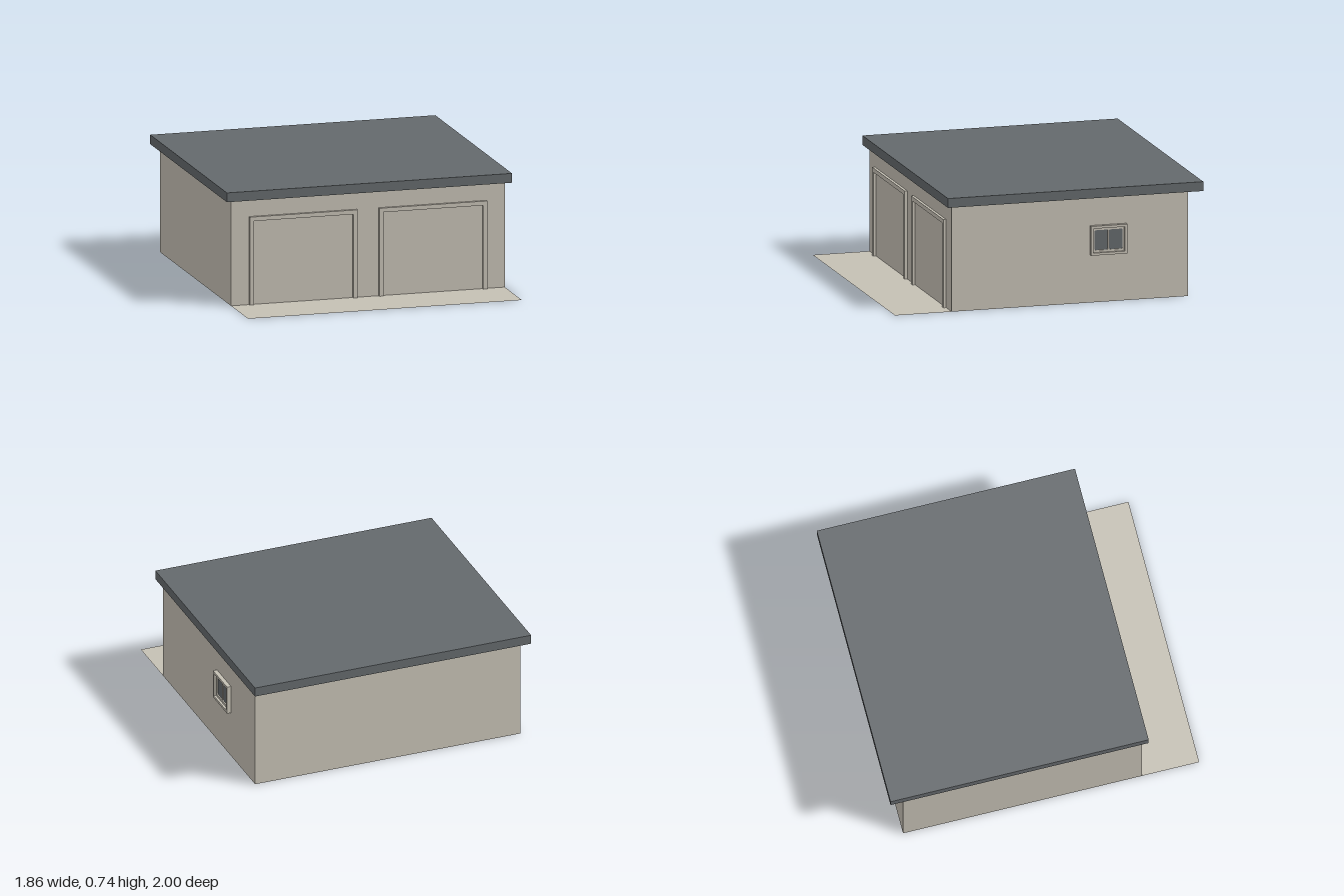
import * as THREE from 'three';

const plaster = new THREE.MeshStandardMaterial({ color: 0xc5c0b4, side: THREE.DoubleSide });
plaster.name = 'warm grey plaster';
const slate = new THREE.MeshStandardMaterial({ color: 0x64696c });
slate.name = 'slate grey';

const WALL = { x: 0.893, top: 0.675, front: 0.63, back: -0.91 };

function add(parent, name, geometry, material, x = 0, y = 0, z = 0) {
  const mesh = new THREE.Mesh(geometry, material);
  mesh.name = name;
  mesh.position.set(x, y, z);
  parent.add(mesh);
  return mesh;
}

const outline = (points) => points.map(([x, y]) => new THREE.Vector2(x, y));

// rectangle with cut corners, centred on cx
function chamfered(cx, w, h, c) {
  const a = w / 2, b = h / 2;
  return outline([
    [cx - a + c, -b], [cx + a - c, -b], [cx + a, -b + c], [cx + a, b - c],
    [cx + a - c, b], [cx - a + c, b], [cx - a, b - c], [cx - a, -b + c],
  ]);
}

const extrude = (points, depth, holes = []) => {
  const shape = new THREE.Shape(points);
  shape.holes = holes.map((h) => new THREE.Path(h));
  return new THREE.ExtrudeGeometry(shape, { depth, bevelEnabled: false });
};

export function createModel() {
  const model = new THREE.Group();
  model.name = 'garage';

  // thin wall shell, open underneath, closed by a ceiling
  const depth = WALL.front - WALL.back;
  const midZ = (WALL.front + WALL.back) / 2;
  const walls = new THREE.Group();
  walls.name = 'walls';
  model.add(walls);
  for (const [name, side] of [['leftWall', 1], ['rightWall', -1]]) {
    add(walls, name, new THREE.PlaneGeometry(depth, WALL.top), plaster, side * WALL.x, WALL.top / 2, midZ)
      .rotation.y = side * Math.PI / 2;
  }
  add(walls, 'frontWall', new THREE.PlaneGeometry(WALL.x * 2, WALL.top), plaster, 0, WALL.top / 2, WALL.front);
  add(walls, 'backWall', new THREE.PlaneGeometry(WALL.x * 2, WALL.top), plaster, 0, WALL.top / 2, WALL.back)
    .rotation.y = Math.PI;
  add(walls, 'ceiling', new THREE.PlaneGeometry(WALL.x * 2, depth), plaster, 0, WALL.top - 0.002, midZ)
    .rotation.x = Math.PI / 2;

  // flat overhanging roof slab
  add(model, 'roof', new THREE.BoxGeometry(1.86, 0.06, 1.665), slate, 0, 0.705, -0.1675);

  // driveway apron
  add(model, 'driveway', new THREE.PlaneGeometry(WALL.x * 2, 1 - WALL.front), plaster, 0, 0, (1 + WALL.front) / 2)
    .rotation.x = -Math.PI / 2;

  // raised surround of each garage door
  const surround = extrude(outline([
    [-0.352, 0], [-0.325, 0], [-0.325, 0.538], [0.325, 0.538],
    [0.325, 0], [0.352, 0], [0.352, 0.565], [-0.352, 0.565],
  ]), 0.018);
  for (const [name, x] of [['leftDoorFrame', 0.422], ['rightDoorFrame', -0.424]]) {
    add(model, name, surround, plaster, x, 0, WALL.front);
  }

  // two-pane window on the left wall, built facing +z then turned to +x
  const win = new THREE.Group();
  win.name = 'window';
  win.position.set(WALL.x, 0.399, -0.39);
  win.rotation.y = Math.PI / 2;
  model.add(win);
  add(win, 'windowFrame', extrude(chamfered(0, 0.236, 0.188, 0), 0.027,
    [chamfered(0, 0.204, 0.156, 0)]), plaster);
  const panes = [-0.0475, 0.0475].map((x) => chamfered(x, 0.088, 0.128, 0.006));
  add(win, 'windowSash', extrude(chamfered(0, 0.204, 0.156, 0), 0.012, panes), plaster);
  for (const pane of panes) {
    add(win, 'windowPane', new THREE.ShapeGeometry(new THREE.Shape(pane)), slate, 0, 0, 0.004);
  }

  return model;
}
